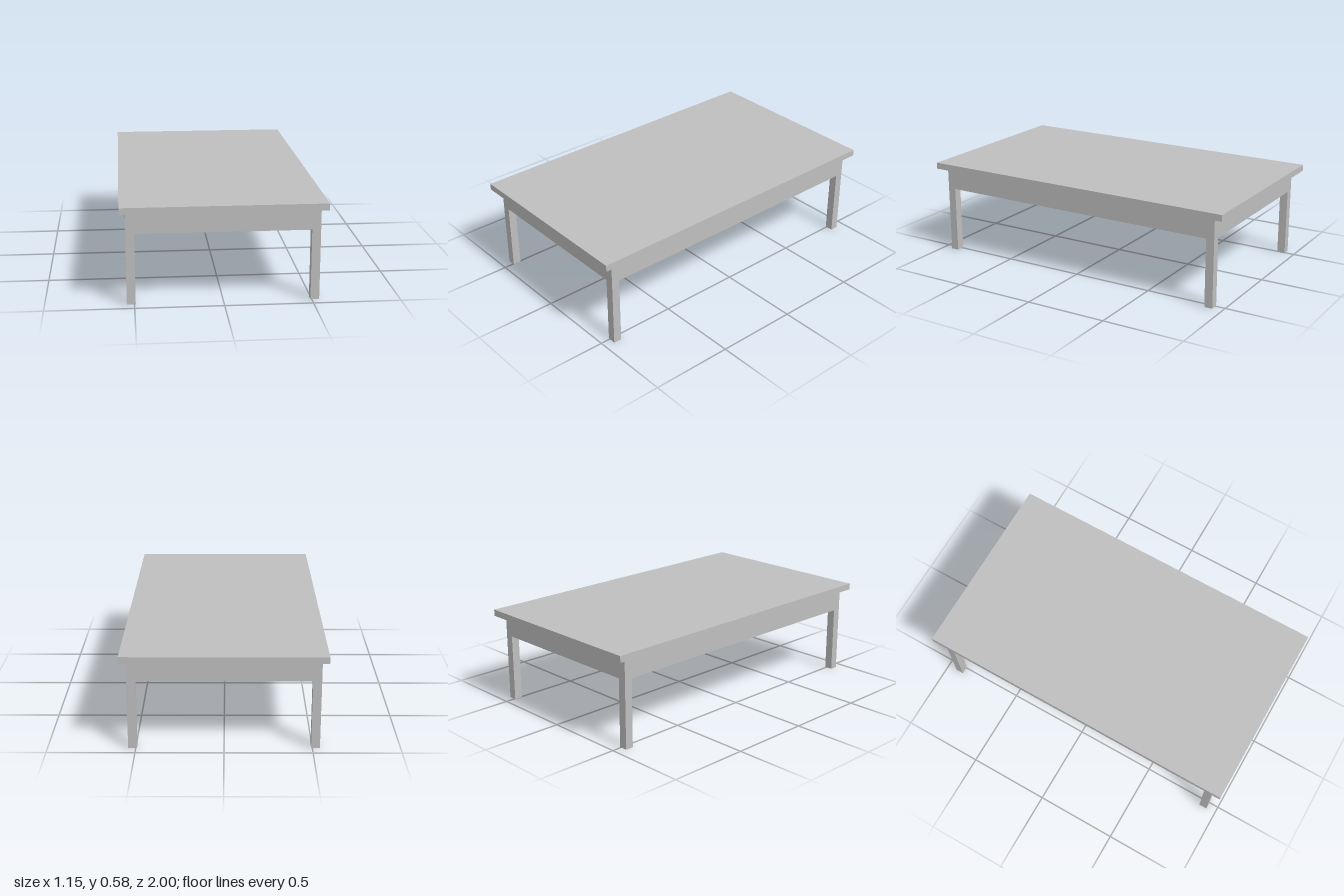
import * as THREE from 'three';

export function createModel() {
  const table = new THREE.Group();
  table.name = 'table';
  const grey = new THREE.MeshStandardMaterial({ color: 0xbfbfbf });
  grey.name = 'light grey';

  const halfX = 0.543, halfZ = 0.94; // outer faces of the frame
  const post = 0.05; // thickness of legs and rails
  const railBottom = 0.411, railTop = 0.538, topY = 0.577;

  function box(name, w, h, d, x, y, z) {
    const mesh = new THREE.Mesh(new THREE.BoxGeometry(w, h, d), grey);
    mesh.name = name;
    mesh.position.set(x, y, z);
    table.add(mesh);
  }

  // Overhanging slab
  box('tableTop', 1.154, topY - railTop, 2, 0, (topY + railTop) / 2, 0);

  // Rail frame, open in the middle
  const rectangle = (Type, x, z) => new Type([
    new THREE.Vector2(-x, -z), new THREE.Vector2(x, -z),
    new THREE.Vector2(x, z), new THREE.Vector2(-x, z),
  ]);
  const outline = rectangle(THREE.Shape, halfX, halfZ);
  outline.holes.push(rectangle(THREE.Path, halfX - post, halfZ - post));
  const frameGeometry = new THREE.ExtrudeGeometry(outline, {
    depth: railTop - railBottom, bevelEnabled: false,
  });
  frameGeometry.rotateX(-Math.PI / 2);
  const frame = new THREE.Mesh(frameGeometry, grey);
  frame.name = 'apronFrame';
  frame.position.y = railBottom;
  table.add(frame);

  // Four square legs, flush with the frame corners
  for (const [side, sx] of [['Left', 1], ['Right', -1]]) {
    for (const [end, sz] of [['front', 1], ['back', -1]]) {
      box(`${end}${side}Leg`, post, railBottom, post,
        sx * (halfX - post / 2), railBottom / 2, sz * (halfZ - post / 2));
    }
  }
  return table;
}
